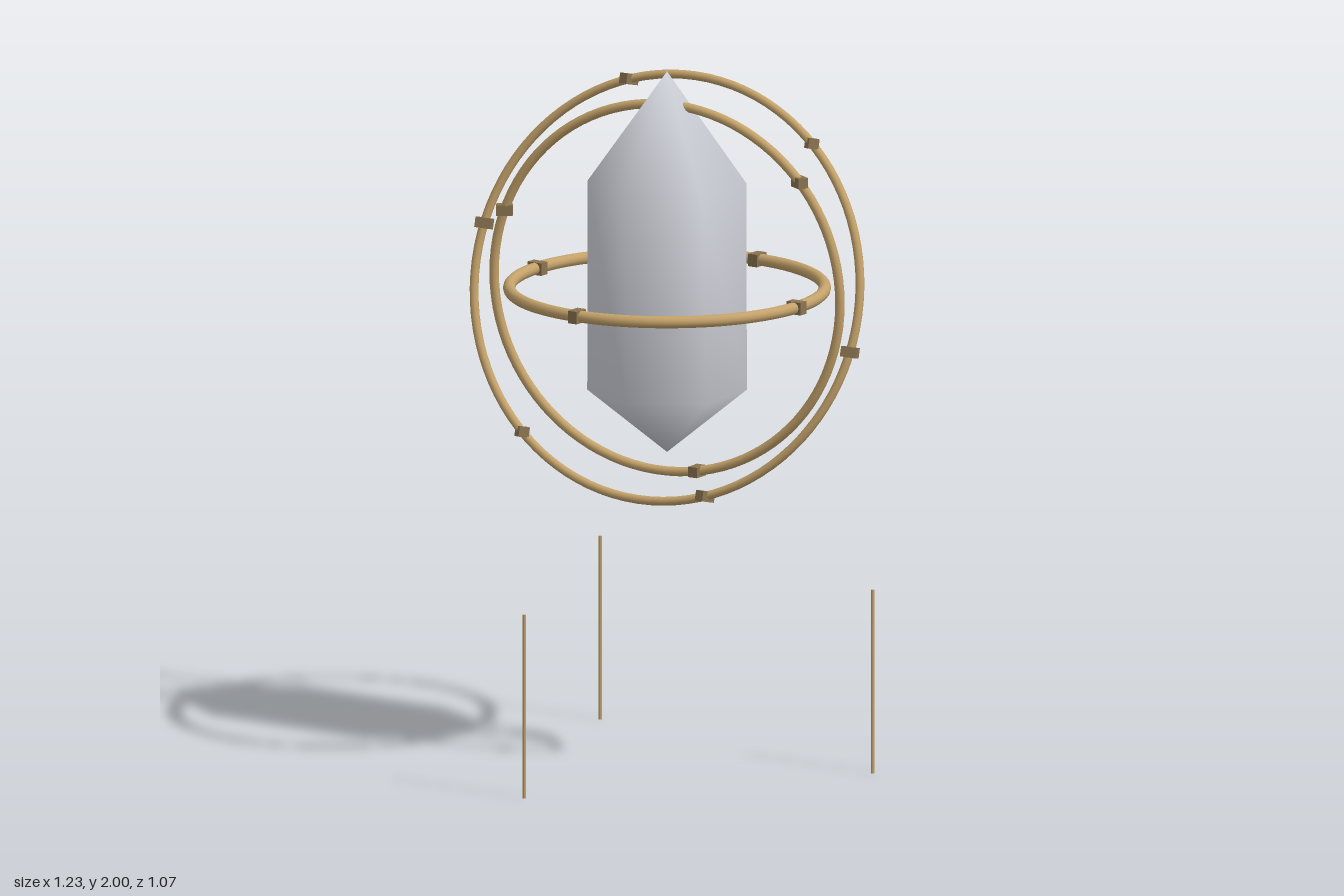
import * as THREE from 'three';
import { mergeVertices } from 'three/addons/utils/BufferGeometryUtils.js';

const CENTRE = new THREE.Vector3(0, 1.375, -0.07);

export function createModel() {
  const model = new THREE.Group();
  model.name = 'floatingCrystal';
  const crystalMat = new THREE.MeshStandardMaterial({ name: 'pale crystal', color: 0xd2d4dc });
  const brassMat = new THREE.MeshStandardMaterial({ name: 'brass', color: 0xc4a26a });
  const darkMat = new THREE.MeshStandardMaterial({ name: 'dark brass', color: 0x8a7450 });

  const add = (parent, name, geometry, material, x, y, z) => {
    const mesh = new THREE.Mesh(geometry, material);
    mesh.name = name;
    mesh.position.set(x, y, z);
    parent.add(mesh);
    return mesh;
  };

  // Six-sided crystal with a point at each end and a slightly twisted lower rim
  const profile = [[0, 0.9], [0.225, 1.08], [0.225, 1.68], [0, 2]].map(([r, y]) => new THREE.Vector2(r, y));
  let crystal = new THREE.LatheGeometry(profile, 6);
  const p = crystal.attributes.position;
  const v = new THREE.Vector3();
  const up = new THREE.Vector3(0, 1, 0);
  for (let i = 0; i < p.count; i++) {
    v.fromBufferAttribute(p, i);
    if (v.y < 1.3) v.applyAxisAngle(up, 0.08);
    p.setXYZ(i, v.x, v.y, v.z);
  }
  crystal.deleteAttribute('uv');
  crystal.deleteAttribute('normal');
  crystal = mergeVertices(crystal, 1e-4);
  crystal.computeVertexNormals();
  add(model, 'crystal', crystal, crystalMat, 0, 0, CENTRE.z);

  // Orbit ring in its own xy plane, or lying flat, with evenly spaced clasps
  const ring = (name, radius, tube, count, startDeg, flat, rx, ry) => {
    const group = new THREE.Group();
    group.name = name;
    group.position.copy(CENTRE);
    group.rotation.set(rx, ry, 0);
    const hoop = add(group, name + 'Hoop', new THREE.TorusGeometry(radius, tube, 12, 96), brassMat, 0, 0, 0);
    if (flat) hoop.rotation.x = Math.PI / 2;
    const box = new THREE.BoxGeometry(0.047, flat ? 0.036 : 0.03, 0.03);
    for (let i = 0; i < count; i++) {
      const a = THREE.MathUtils.degToRad(startDeg + (i * 360) / count);
      const c = radius * Math.cos(a), s = radius * Math.sin(a);
      add(group, name + 'Clasp', box, darkMat, c, flat ? 0 : s, flat ? s : 0).rotation.y = -a;
    }
    model.add(group);
  };
  ring('flatRing', 0.445, 0.0175, 4, 0, true, 0, 0);
  ring('middleRing', 0.53, 0.0135, 3, 40, false, 0, 0.205);
  ring('outerRing', 0.603, 0.0125, 6, 50, false, -0.24, 0.144);

  // Thin standing rods
  const rod = new THREE.CylinderGeometry(0.005, 0.005, 0.53, 8);
  for (const [x, z] of [[-0.477, -0.425], [-0.075, 0.527], [0.548, -0.297]]) {
    add(model, 'rod', rod, brassMat, x, 0.265, z);
  }
  return model;
}
